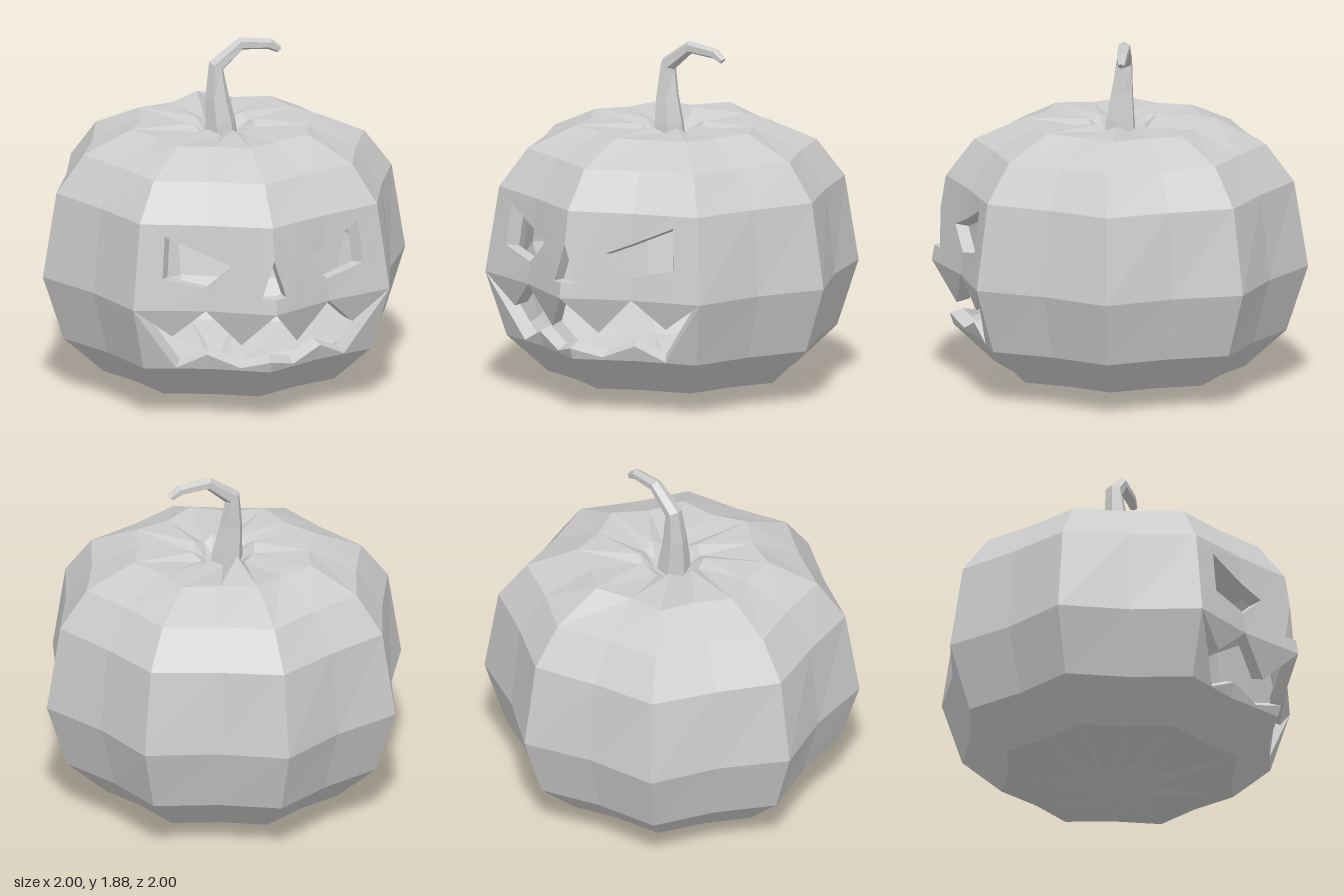
import * as THREE from 'three';

const SIDES = 16;          // ridge, valley, ridge, valley...
const BACK = 8;            // index of the rear ridge
const WALL = 0.92;         // inner shell scale
const MID = 0.7;           // height the inner shell shrinks towards

// Rings from bottom to top: [ridge y, ridge radius, valley y, valley radius]
const RINGS = [
  [0.04, 0, 0.04, 0],
  [0.015, 0.07, 0.03, 0.07],
  [0, 0.17, 0.03, 0.16],
  [0.10, 0.665, 0.10, 0.595],
  [0.30, 0.885, 0.30, 0.79],
  [0.65, 1.0, 0.65, 0.888],
  [1.11, 0.925, 1.11, 0.84],
  [1.31, 0.775, 1.31, 0.70],
  [1.43, 0.51, 1.425, 0.444],
  [1.43, 0.17, 1.40, 0.16],
  [1.365, 0.10, 1.365, 0.10],
  [1.365, 0, 1.365, 0],
];
const MOUTH_ROW = 4, EYE_ROW = 5;

// Openings as columns [k, low y, high y], k counted in sides from the centre line
const MOUTH = [[0, 0.36, 0.65], [0.48, 0.315, 0.455], [1, 0.385, 0.65], [1.5, 0.305, 0.495], [2, 0.65, 0.65]];
const EYES_NOSE = [
  [0, 0.73, 0.935], [0.2, 0.73, 0.73],
  [0.61, 0.895, 0.895], [1, 0.77, 0.95], [1.62, 0.82, 1.045], [1.62, 0.95, 0.95], [2, 0.95, 0.95],
];

function ringPoint(k, j) {
  const i = ((k % SIDES) + SIDES) % SIDES;
  let [y, r, vy, vr] = RINGS[j];
  if (i % 2) { y = vy; r = vr; }
  if (i === BACK && j === 8) y = 1.445;                // raised rear rib
  if (i === BACK && j === 9) { y = 1.472; r = 0.2; }
  const a = (i / SIDES) * Math.PI * 2;
  return new THREE.Vector3(Math.sin(a) * r, y, Math.cos(a) * r);
}

// Point on a carved row at fractional side k and height y
function facePoint(k, y, row) {
  const t = (y - RINGS[row][0]) / (RINGS[row + 1][0] - RINGS[row][0]);
  const k0 = Math.floor(k);
  const at = (i) => ringPoint(i, row).lerp(ringPoint(i, row + 1), t);
  return at(k0).lerp(at(k0 + 1), k - k0);
}

const inner = (p) => new THREE.Vector3(p.x * WALL, MID + (p.y - MID) * WALL, p.z * WALL);

function addTriangle(out, a, b, c) {
  const area = b.clone().sub(a).cross(c.clone().sub(a)).length();
  if (area < 1e-7) return;
  for (const p of [a, b, c]) out.push(p.x, p.y, p.z);
}
function addQuad(out, a, b, c, d) {
  addTriangle(out, a, b, c);
  addTriangle(out, a, c, d);
}

function makeMesh(name, positions, material) {
  const g = new THREE.BufferGeometry();
  g.setAttribute('position', new THREE.Float32BufferAttribute(positions, 3));
  g.computeVertexNormals();
  const mesh = new THREE.Mesh(g, material);
  mesh.name = name;
  return mesh;
}

function buildShells() {
  const skin = [], cavity = [], rims = [];
  const both = (a, b, c, d) => {
    addQuad(skin, a, b, c, d);
    addQuad(cavity, inner(d), inner(c), inner(b), inner(a));
  };

  // Plain ribbed panels
  for (let j = 0; j < RINGS.length - 1; j++) {
    for (let k = -2; k < SIDES - 2; k++) {
      const carved = k < 2 && (j === MOUTH_ROW || j === EYE_ROW);
      if (!carved) both(ringPoint(k, j), ringPoint(k + 1, j), ringPoint(k + 1, j + 1), ringPoint(k, j + 1));
    }
  }

  // Front panels, split in columns around the openings
  for (const [row, half] of [[MOUTH_ROW, MOUTH], [EYE_ROW, EYES_NOSE]]) {
    const mirrored = half.slice(1).reverse().map(([k, lo, hi]) => [-k, lo, hi]);
    const columns = [...mirrored, ...half];
    const bottom = RINGS[row][0], top = RINGS[row + 1][0];
    for (let i = 0; i < columns.length - 1; i++) {
      const [k0, lo0, hi0] = columns[i], [k1, lo1, hi1] = columns[i + 1];
      const p = (k, y) => facePoint(k, y, row);
      const a = p(k0, lo0), b = p(k1, lo1), c = p(k1, hi1), d = p(k0, hi0);
      both(p(k0, bottom), p(k1, bottom), b, a);
      both(d, c, p(k1, top), p(k0, top));
      if (lo0 === hi0 && lo1 === hi1) continue;
      // Cut thickness of the rind
      addQuad(rims, a, b, inner(b), inner(a));
      addQuad(rims, c, d, inner(d), inner(c));
    }
  }
  return { skin, cavity, rims };
}

// Bent, tapering stem: [x, y, z, radius, tangent angle in degrees]
function buildStem() {
  const N = 6, out = [];
  const path = [
    [-0.015, 1.35, 0, 0.09, 90],
    [-0.02, 1.43, 0, 0.083, 90],
    [-0.036, 1.57, -0.008, 0.064, 93],
    [-0.038, 1.735, -0.02, 0.046, 58],
    [0.10, 1.843, -0.03, 0.035, 14],
    [0.26, 1.828, -0.03, 0.03, -20],
    [0.312, 1.793, -0.03, 0.02, -42],
  ];
  const rings = path.map(([x, y, z, r, deg]) => {
    const t = THREE.MathUtils.degToRad(deg);
    return Array.from({ length: N }, (_, i) => {
      const a = (i / N) * Math.PI * 2;
      const n = Math.cos(a) * r;
      return new THREE.Vector3(x - Math.sin(t) * n, y + Math.cos(t) * n, z + Math.sin(a) * r);
    });
  });
  for (let j = 0; j < rings.length - 1; j++) {
    for (let i = 0; i < N; i++) {
      const n = (i + 1) % N;
      addQuad(out, rings[j][i], rings[j][n], rings[j + 1][n], rings[j + 1][i]);
    }
  }
  // Cut end
  const tip = rings[rings.length - 1];
  for (let i = 1; i < N - 1; i++) addTriangle(out, tip[0], tip[i], tip[i + 1]);
  return out;
}

export function createModel() {
  const grey = new THREE.MeshStandardMaterial({ color: 0xcccccc });
  grey.name = 'plain grey';
  const group = new THREE.Group();
  group.name = 'carvedPumpkin';
  const { skin, cavity, rims } = buildShells();
  group.add(
    makeMesh('outerSkin', skin, grey),
    makeMesh('hollowInside', cavity, grey),
    makeMesh('carvedEdges', rims, grey),
    makeMesh('stem', buildStem(), grey),
  );
  return group;
}
